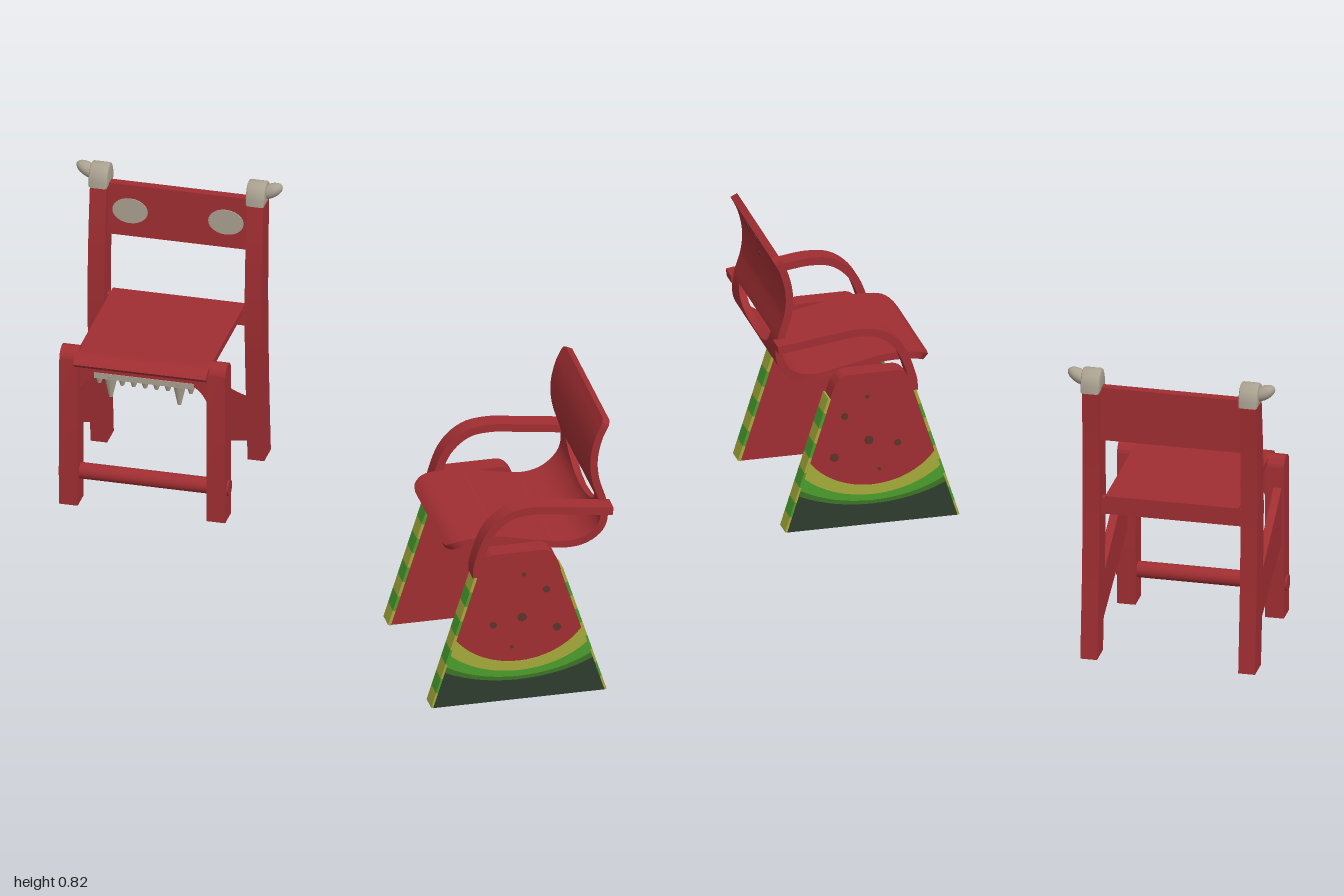
import * as THREE from 'three';
import { toCreasedNormals } from 'three/addons/utils/BufferGeometryUtils.js';

const mat = (name, color) => Object.assign(new THREE.MeshStandardMaterial({ color }), { name });
const V2 = (p) => new THREE.Vector2(p[0], p[1]);

export function createModel() {
  const red = mat('red', 0xa02e32), yellow = mat('rind yellow', 0xa4a93a), green = mat('light green', 0x4a9c2c),
    midGreen = mat('mid green', 0x3c7224), dark = mat('dark green', 0x2e3c2e), seedBrown = mat('seed brown', 0x5c3329),
    bone = mat('bone', 0xaaa190);

  const add = (group, name, geo, material, x = 0, y = 0, z = 0) => {
    const m = new THREE.Mesh(geo, material);
    m.name = name;
    m.position.set(x, y, z);
    group.add(m);
    return m;
  };
  const box = (w, h, d) => new THREE.BoxGeometry(w, h, d);
  // Side profile: shape x becomes depth (z), thickness runs along x and is centred
  const sideGeo = (shape, t, bevel = 0) => {
    const g = new THREE.ExtrudeGeometry(shape, {
      depth: t - 2 * bevel, curveSegments: 12, bevelEnabled: bevel > 0,
      bevelSize: bevel, bevelThickness: bevel, bevelOffset: -bevel, bevelSegments: 2,
    });
    g.translate(0, 0, bevel - t / 2).rotateY(-Math.PI / 2);
    return toCreasedNormals(g.translate(bevel - (bevel || 0), 0, 0), 0.6);
  };
  // Bent sheet along a (z, y) curve between two x limits
  const sheet = (curve, t, left, right, v0 = 0, v1 = 1, n = 32) => {
    const pos = [], idx = [];
    for (let i = 0; i <= n; i++) {
      const v = v0 + (v1 - v0) * i / n, p = curve.getPointAt(v), d = curve.getTangentAt(v);
      const l = left(v), r = right(v);
      for (const [x, s] of [[l, -1], [r, -1], [r, 1], [l, 1]])
        pos.push(x, p.y + s * d.x * t / 2, p.x - s * d.y * t / 2);
      if (i < n) for (let j = 0; j < 4; j++) {
        const a = i * 4 + j, b = i * 4 + (j + 1) % 4;
        idx.push(a, b, b + 4, a, b + 4, a + 4);
      }
    }
    const e = n * 4;
    idx.push(0, 2, 1, 0, 3, 2, e, e + 1, e + 2, e, e + 2, e + 3);
    const g = new THREE.BufferGeometry();
    g.setAttribute('position', new THREE.Float32BufferAttribute(pos, 3));
    g.setIndex(idx);
    return toCreasedNormals(g, 0.6);
  };
  const spline = (pts) => new THREE.SplineCurve(pts.map(V2));

  // ---------- Melon armchair ----------
  const melon = new THREE.Group();
  melon.name = 'melonArmchair';
  const bend = spline([[0.175, 0.415], [0.14, 0.437], [0.05, 0.44], [-0.05, 0.42], [-0.13, 0.408], [-0.19, 0.42],
    [-0.233, 0.46], [-0.24, 0.52], [-0.218, 0.6], [-0.214, 0.66], [-0.227, 0.72], [-0.25, 0.767]]);
  const corner = (q) => 1 - Math.sqrt(Math.max(0, 1 - (1 - Math.min(q, 1)) ** 2));
  const W = (v) => 0.2 + 0.025 * THREE.MathUtils.smoothstep(v, 0.35, 0.6)
    - 0.05 * corner(v / 0.07) - 0.015 * corner((1 - v) / 0.025);
  const s0 = 0.593, s1 = 0.675;
  const slot = (v) => 0.16 * Math.sqrt(Math.max(0, 1 - (1 - (v - s0) / (s1 - s0)) ** 2));
  add(melon, 'seatShell', sheet(bend, 0.02, (v) => -W(v), W, 0, s0, 48), red);
  add(melon, 'backShell', sheet(bend, 0.02, (v) => -W(v), W, s1, 1, 30), red);
  add(melon, 'slotSideRight', sheet(bend, 0.02, (v) => -W(v), (v) => -slot(v), s0, s1, 14), red);
  add(melon, 'slotSideLeft', sheet(bend, 0.02, slot, W, s0, s1, 14), red);
  // Seeds on the backrest
  for (const [x, v, r] of [[0.115, 0.93, 0.016], [0.01, 0.95, 0.008], [0.03, 0.87, 0.006]]) {
    const p = bend.getPointAt(v), d = bend.getTangentAt(v);
    const seed = add(melon, 'backSeed', new THREE.CylinderGeometry(r, r, 0.004, 8), seedBrown,
      x, p.y + d.x * 0.0105, p.x - d.y * 0.0105);
    seed.rotation.x = Math.atan2(-d.y, d.x);
  }

  const half = (y) => 0.231 - 0.316 * y;
  const panel = new THREE.Shape();
  panel.moveTo(-half(0), 0);
  panel.lineTo(half(0), 0);
  panel.lineTo(half(0.385), 0.385);
  panel.quadraticCurveTo(half(0.43), 0.43, 0.065, 0.432);
  panel.lineTo(-0.065, 0.432);
  panel.quadraticCurveTo(-half(0.43), 0.43, -half(0.385), 0.385);
  // Rind bands: height at the centre and at the edges
  const levels = [[0, 0], [0.058, 0.1], [0.068, 0.115], [0.085, 0.148], [0.112, 0.192]];
  const bandShape = (lo, hi) => {
    const edge = ([c, e]) => Array.from({ length: 17 }, (_, i) => {
      const s = i / 8 - 1, y = c + (e - c) * s * s;
      return new THREE.Vector2(s * half(y), y);
    });
    return new THREE.Shape([...edge(lo), ...edge(hi).reverse()]);
  };
  const seeds = [[-0.014, 0.365, 0.006], [-0.075, 0.315, 0.01], [0.069, 0.225, 0.01], [-0.009, 0.24, 0.013],
    [-0.103, 0.2, 0.012], [0.019, 0.155, 0.005]];
  const armPath = spline([[0.113, 0.368], [0.109, 0.41], [0.078, 0.49], [0.025, 0.538], [-0.04, 0.549],
    [-0.12, 0.54], [-0.255, 0.522]]);
  for (const s of [-1, 1]) {
    const x = s * 0.243, face = x + s * 0.0255;
    add(melon, 'sidePanel', sideGeo(panel, 0.05), red, x);
    [dark, midGreen, green, yellow].forEach((m, i) =>
      add(melon, 'rindBand', sideGeo(bandShape(levels[i], levels[i + 1]), 0.003), m, face));
    for (const [z, y, r] of seeds)
      add(melon, 'seed', new THREE.CylinderGeometry(r, r, 0.003, 8).rotateZ(Math.PI / 2), seedBrown, face, y, z);
    // Striped rind along both sloping edges
    const n = 9, h = 0.37 / n, tilt = Math.atan(0.316);
    for (const f of [-1, 1]) for (let i = 0; i < n; i++) {
      const y = (i + 0.5) * h;
      const m = add(melon, 'rindStripe', box(0.052, h / Math.cos(tilt), 0.008), i % 2 ? green : yellow,
        x, y, f * (half(y) + 0.002));
      m.rotation.x = -f * tilt;
    }
    add(melon, 'armrest', sheet(armPath, 0.022, () => -0.025, () => 0.025, 0, 1, 36), red, x);
  }
  melon.position.set(0.015, 0, 0.655);
  melon.rotation.y = Math.atan2(-0.905, -0.425);

  // ---------- Horned chair ----------
  const horned = new THREE.Group();
  horned.name = 'hornedChair';
  const post = new THREE.Shape();
  post.moveTo(-0.23, 0);
  post.lineTo(-0.16, 0);
  post.splineThru([[-0.14, 0.22], [-0.128, 0.42], [-0.135, 0.6], [-0.153, 0.76]].map(V2));
  post.lineTo(-0.213, 0.76);
  post.splineThru([[-0.204, 0.6], [-0.203, 0.42], [-0.212, 0.22], [-0.23, 0]].map(V2));
  const leg = new THREE.Shape();
  leg.moveTo(0.147, 0);
  leg.lineTo(0.209, 0);
  leg.lineTo(0.209, 0.425);
  leg.absarc(0.178, 0.425, 0.031, 0, Math.PI, false);
  const brace = new THREE.Shape();
  brace.moveTo(0.16, 0.22);
  brace.lineTo(0.16, 0.385);
  brace.quadraticCurveTo(0.12, 0.345, -0.16, 0.18);
  brace.lineTo(-0.18, 0.05);
  const cap = new THREE.Shape();
  cap.moveTo(-0.22, 0.755);
  cap.lineTo(-0.146, 0.755);
  cap.bezierCurveTo(-0.142, 0.835, -0.224, 0.835, -0.22, 0.755);
  for (const s of [-1, 1]) {
    add(horned, 'backPost', sideGeo(post, 0.045), red, s * 0.213);
    add(horned, 'frontLeg', sideGeo(leg, 0.05), red, s * 0.2);
    add(horned, 'sideBrace', sideGeo(brace, 0.022), red, s * 0.208);
    add(horned, 'postCap', sideGeo(cap, 0.052, 0.006), bone, s * 0.213);
    const horn = add(horned, 'horn', new THREE.SphereGeometry(1, 16, 12), bone, s * 0.247, 0.789, -0.184);
    horn.scale.set(0.036, 0.019, 0.02);
    horn.rotation.z = s * 0.5;
    add(horned, 'eyePatch', new THREE.CylinderGeometry(1, 1, 0.004, 24).scale(0.048, 1, 0.036).rotateX(Math.PI / 2),
      bone, s * 0.13, 0.69, -0.167);
  }
  add(horned, 'backrest', box(0.4, 0.15, 0.024), red, 0, 0.69, -0.18);
  add(horned, 'backRail', box(0.4, 0.045, 0.022), red, 0, 0.42, -0.165);
  add(horned, 'stretcher', new THREE.CylinderGeometry(0.022, 0.022, 0.46, 20).rotateZ(Math.PI / 2), red, 0, 0.09, 0.178);
  // Seat board with a rolled front lip
  const seatPath = spline([[0.232, 0.425], [0.22, 0.438], [0.19, 0.441], [0, 0.441], [-0.18, 0.441]]);
  add(horned, 'seat', sheet(seatPath, 0.018, () => -0.18, () => 0.18), red);
  // Arched front apron
  const apron = new THREE.Shape();
  apron.moveTo(-0.18, 0.43);
  apron.lineTo(-0.18, 0.31);
  apron.quadraticCurveTo(-0.165, 0.375, -0.12, 0.388);
  apron.lineTo(0.12, 0.388);
  apron.quadraticCurveTo(0.165, 0.375, 0.18, 0.31);
  apron.lineTo(0.18, 0.43);
  add(horned, 'frontApron', new THREE.ExtrudeGeometry(apron, { depth: 0.024, bevelEnabled: false }), red, 0, 0, 0.166);
  // Teeth, with a long fang at each side
  add(horned, 'gum', box(0.27, 0.016, 0.028), bone, 0, 0.383, 0.178);
  for (let i = -4; i <= 4; i++) {
    const fang = Math.abs(i) === 3, len = fang ? 0.065 : 0.028;
    const t = add(horned, fang ? 'fang' : 'tooth',
      new THREE.CylinderGeometry(fang ? 0.019 : 0.014, 0.005, len, 12), bone, i * 0.031, 0.384 - len / 2, 0.178);
    t.scale.z = 0.8;
  }
  horned.position.set(-0.045, 0, -0.67);
  horned.rotation.y = Math.atan2(-0.8, 0.6);

  const model = new THREE.Group();
  model.name = 'twoChairs';
  model.add(melon, horned);
  return model;
}
